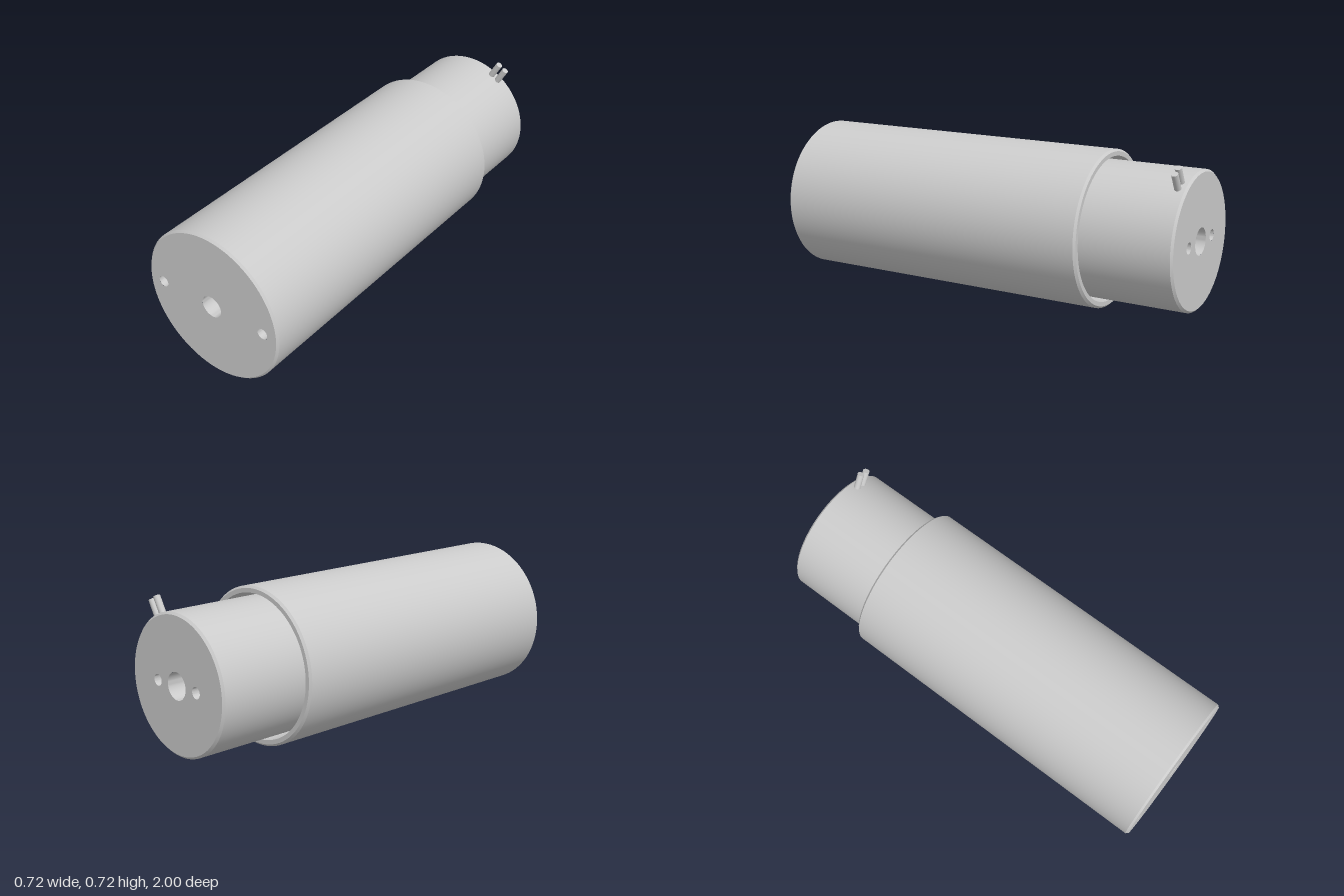
import * as THREE from 'three';
import { toCreasedNormals } from 'three/addons/utils/BufferGeometryUtils.js';

const CENTRE_Y = 0.364;
const SEGMENTS = 96;

export function createModel() {
  const group = new THREE.Group();
  const material = new THREE.MeshStandardMaterial({ color: 0xcccccc });

  const add = (name, geometry, parent = group) => {
    const mesh = new THREE.Mesh(geometry, material);
    mesh.name = name;
    parent.add(mesh);
    return mesh;
  };

  // Turned part along z; profile is a list of [radius, z]
  const turned = (profile, segments = SEGMENTS) => {
    const points = profile.map(([r, z]) => new THREE.Vector2(r, z));
    const geometry = new THREE.LatheGeometry(points, segments).rotateX(Math.PI / 2);
    return toCreasedNormals(geometry, 0.35);
  };

  // End face with drilled holes, facing +z; holes are { x, r, depth, tip }
  const endFace = (name, radius, holes) => {
    const end = new THREE.Group();
    end.name = name;
    const shape = new THREE.Shape().absarc(0, 0, radius, 0, Math.PI * 2);
    for (const { x, r, depth, tip } of holes) {
      shape.holes.push(new THREE.Path().absarc(x, 0, r, 0, Math.PI * 2, true));
      add('drilledHole', turned([[r, 0], [r, -depth], [0, -depth - tip]], 48), end).position.x = x;
    }
    add('facePlate', new THREE.ShapeGeometry(shape, SEGMENTS / 2), end);
    group.add(end);
    return end;
  };

  // Wide outer sleeve with chamfered ends and an open bore at the back
  add('sleeve', turned([
    [0.315, -0.27], [0.332, -0.27], [0.332, -0.575], [0.352, -0.575],
    [0.362, -0.565], [0.362, 0.99], [0.353, 1],
  ]));

  // Narrower inner cylinder emerging from the sleeve
  add('innerCylinder', turned([[0.305, -1], [0.315, -0.99], [0.315, -0.27]]));

  // Front end: shallow centre bore and two conical-bottomed holes
  endFace('frontEnd', 0.353, [
    { x: 0, r: 0.052, depth: 0.15, tip: 0 },
    { x: -0.28, r: 0.026, depth: 0.06, tip: 0.015 },
    { x: 0.28, r: 0.026, depth: 0.06, tip: 0.015 },
  ]).position.z = 1;

  // Back end: centre bore and two closer holes
  const back = endFace('backEnd', 0.305, [
    { x: 0, r: 0.062, depth: 0.15, tip: 0 },
    { x: -0.133, r: 0.026, depth: 0.06, tip: 0.015 },
    { x: 0.133, r: 0.026, depth: 0.06, tip: 0.015 },
  ]);
  back.position.z = -1;
  back.rotation.y = Math.PI;

  // Pair of parallel terminal pins standing radially near the back end
  const terminals = new THREE.Group();
  terminals.name = 'terminalPins';
  terminals.position.z = -0.957;
  terminals.rotation.z = -Math.PI / 6;
  for (const side of [-1, 1]) {
    const pin = add('terminalPin', new THREE.CylinderGeometry(0.0155, 0.0155, 0.1, 32), terminals);
    pin.position.set(side * 0.0205, 0.344, 0);
  }
  group.add(terminals);

  group.position.y = CENTRE_Y;
  const model = new THREE.Group();
  model.name = 'cylinderUnit';
  model.add(group);
  group.name = 'body';
  return model;
}
